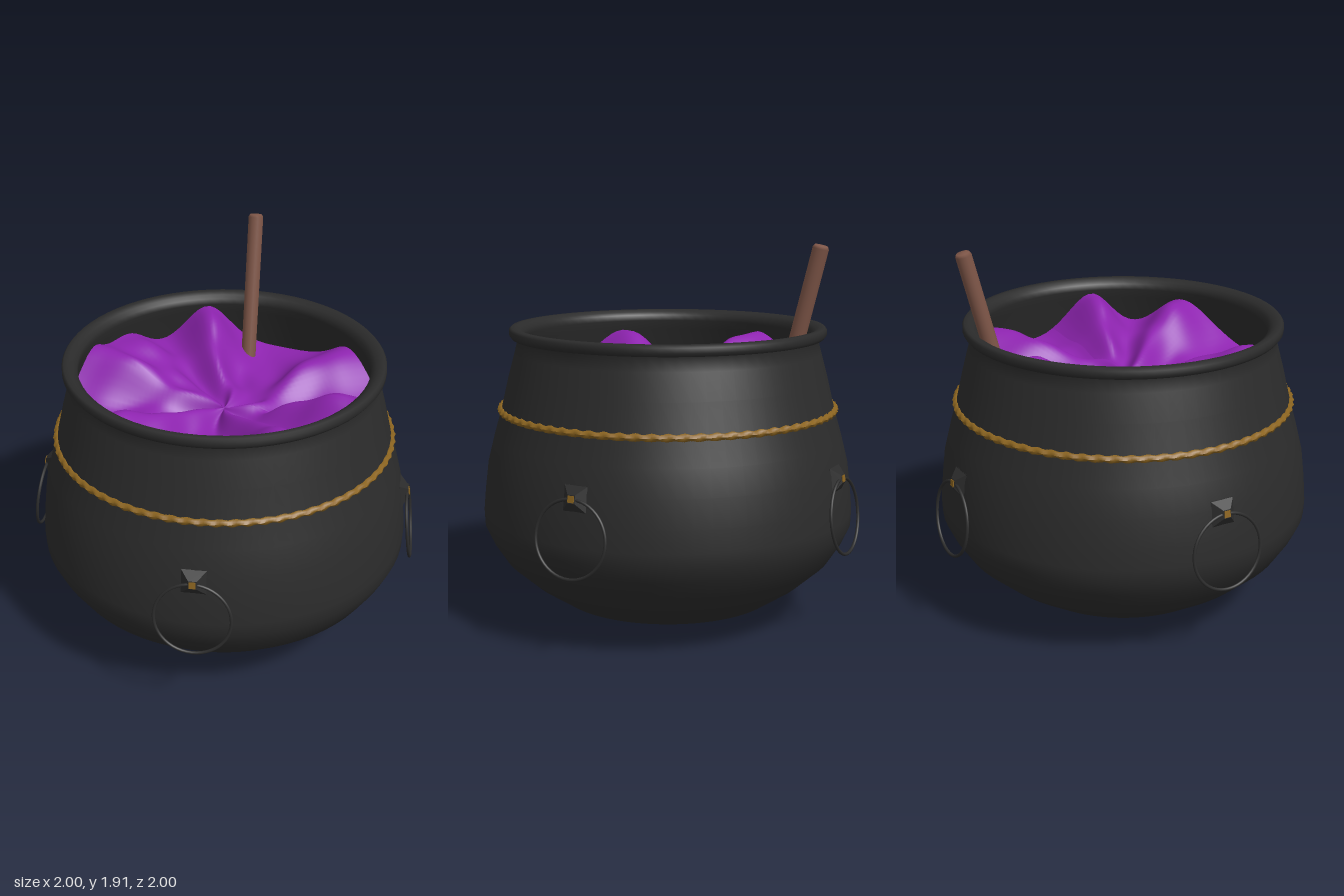
import * as THREE from 'three';

const mat = (name, color) => Object.assign(new THREE.MeshStandardMaterial({ color }), { name });
const iron = mat('blackIron', 0x2b2b2b);
const gold = mat('oldGold', 0x8b6420);
const potion = mat('purplePotion', 0x8e24b0);
const wood = mat('brownWood', 0x7d5547);

function part(name, geometry, material) {
  const mesh = new THREE.Mesh(geometry, material);
  mesh.name = name;
  return mesh;
}

const lathe = (pairs, sides) =>
  new THREE.LatheGeometry(pairs.map(([r, y]) => new THREE.Vector2(r, y)), sides);

// Moves every vertex of a geometry by a rule
function deform(geometry, rule) {
  const pos = geometry.attributes.position;
  const v = new THREE.Vector3();
  for (let i = 0; i < pos.count; i++) {
    rule(v.fromBufferAttribute(pos, i));
    pos.setXYZ(i, v.x, v.y, v.z);
  }
  geometry.computeVertexNormals();
  return geometry;
}

// Pot wall with rolled rim and inner side
function makePot() {
  return part('pot', lathe([
    [0, 0], [0.28, 0.003], [0.42, 0.035], [0.56, 0.085], [0.71, 0.185], [0.84, 0.3], [0.905, 0.4],
    [0.942, 0.48], [0.945, 0.55], [0.935, 0.66], [0.918, 0.8], [0.885, 0.93], [0.848, 1.06],
    [0.81, 1.22], [0.775, 1.35], [0.757, 1.42],
    [0.787, 1.423], [0.8, 1.44], [0.8, 1.465], [0.79, 1.477], [0.765, 1.478], [0.745, 1.465],
    [0.725, 1.45], [0.722, 1.42], [0.74, 1.37], [0.79, 1.2], [0.825, 1.06], [0.85, 0.95],
  ], 72), iron);
}

// Two-strand twisted rope around the shoulder
function makeRope() {
  const R = 0.847, r = 0.017;
  const geometry = new THREE.TorusGeometry(R, r, 8, 432);
  deform(geometry, (v) => {
    const u = Math.atan2(v.y, v.x);
    const out = Math.hypot(v.x, v.y) - R;
    const k = 1 + 0.25 * Math.cos(2 * Math.atan2(v.z, out) + 72 * u);
    v.set((R + out * k) * Math.cos(u), (R + out * k) * Math.sin(u), v.z * k);
  });
  geometry.rotateX(Math.PI / 2);
  const rope = part('ropeBand', geometry, gold);
  rope.position.y = 1.065;
  return rope;
}

// Potion ridges: direction in degrees, height, angular width
const ridges = [
  [16, 0.25, 13], [56, 0.23, 17], [133, 0.22, 17], [194, 0.22, 13],
  [218, 0.17, 14], [254, 0.26, 13], [322, 0.18, 17],
];

function potionHeight(angle, t) {
  const deg = THREE.MathUtils.radToDeg(angle);
  let y = 1.15 + 0.03 * Math.exp(-t * t * 12);
  for (const [dir, height, width] of ridges) {
    const d = THREE.MathUtils.euclideanModulo(deg - dir + 180, 360) - 180;
    y += height * Math.exp(-((d / width) ** 2)) * THREE.MathUtils.smoothstep(t, 0.02, 0.85);
  }
  // Fine creases toward the middle
  y += 0.035 * Math.sin(5 * angle + 1 + 6 * t) * Math.exp(-(((t - 0.2) / 0.14) ** 2));
  y += 0.012 * Math.sin(9 * angle + 14 * t) * t * (1 - t) * 4;
  return y;
}

function makePotion() {
  const geometry = new THREE.RingGeometry(0.0005, 1, 144, 32);
  geometry.rotateX(-Math.PI / 2);
  deform(geometry, (v) => {
    const t = Math.hypot(v.x, v.z), angle = Math.atan2(v.z, v.x);
    const y = potionHeight(angle, t);
    const radius = t * (0.812 - (y - 1.15) * 0.28);
    v.set(radius * Math.cos(angle), y, radius * Math.sin(angle));
  });
  return part('potion', geometry, potion);
}

// Leaning stirring stick with softened ends
function makeStick() {
  const from = new THREE.Vector3(0.03, 0.8, -0.548);
  const axis = new THREE.Vector3(0.04, 1.902, -0.832).sub(from);
  const L = axis.length();
  const stick = part('stirringStick', lathe([
    [0, 0], [0.03, 0], [0.039, 0.012], [0.039, L - 0.016], [0.032, L - 0.003], [0, L],
  ], 16), wood);
  stick.position.copy(from);
  stick.quaternion.setFromUnitVectors(new THREE.Vector3(0, 1, 0), axis.normalize());
  return stick;
}

// Pyramid plate with gold stud and hanging ring
function makeHandle(angle) {
  const handle = new THREE.Group();
  handle.name = 'ringHandle';
  const mount = new THREE.Group();
  mount.name = 'handleMount';
  const s = Math.SQRT2;
  const pyramid = new THREE.CylinderGeometry(0.02 * s, 0.063 * s, 0.04, 4).toNonIndexed();
  pyramid.rotateY(Math.PI / 4).rotateX(Math.PI / 2);
  pyramid.computeVertexNormals();
  const plate = part('handlePlate', pyramid, iron);
  plate.position.z = 0.02;
  const base = part('plateBase', new THREE.BoxGeometry(0.126, 0.126, 0.02), iron);
  base.position.z = -0.008;
  const stud = part('goldStud', new THREE.BoxGeometry(0.032, 0.032, 0.008), gold);
  stud.position.z = 0.041;
  mount.add(base, plate, stud);
  mount.position.set(0, 0.777, 0.915);
  mount.rotation.x = -0.15;
  const ring = part('hangingRing', new THREE.TorusGeometry(0.185, 0.008, 8, 48), iron);
  ring.position.set(0, 0.597, 0.968);
  ring.rotation.x = -0.12;
  handle.add(mount, ring);
  handle.rotation.y = angle;
  return handle;
}

export function createModel() {
  const model = new THREE.Group();
  model.name = 'cauldron';
  model.add(makePot(), makeRope(), makePotion(), makeStick());
  for (let i = 0; i < 4; i++) model.add(makeHandle((i * Math.PI) / 2));
  return model;
}
